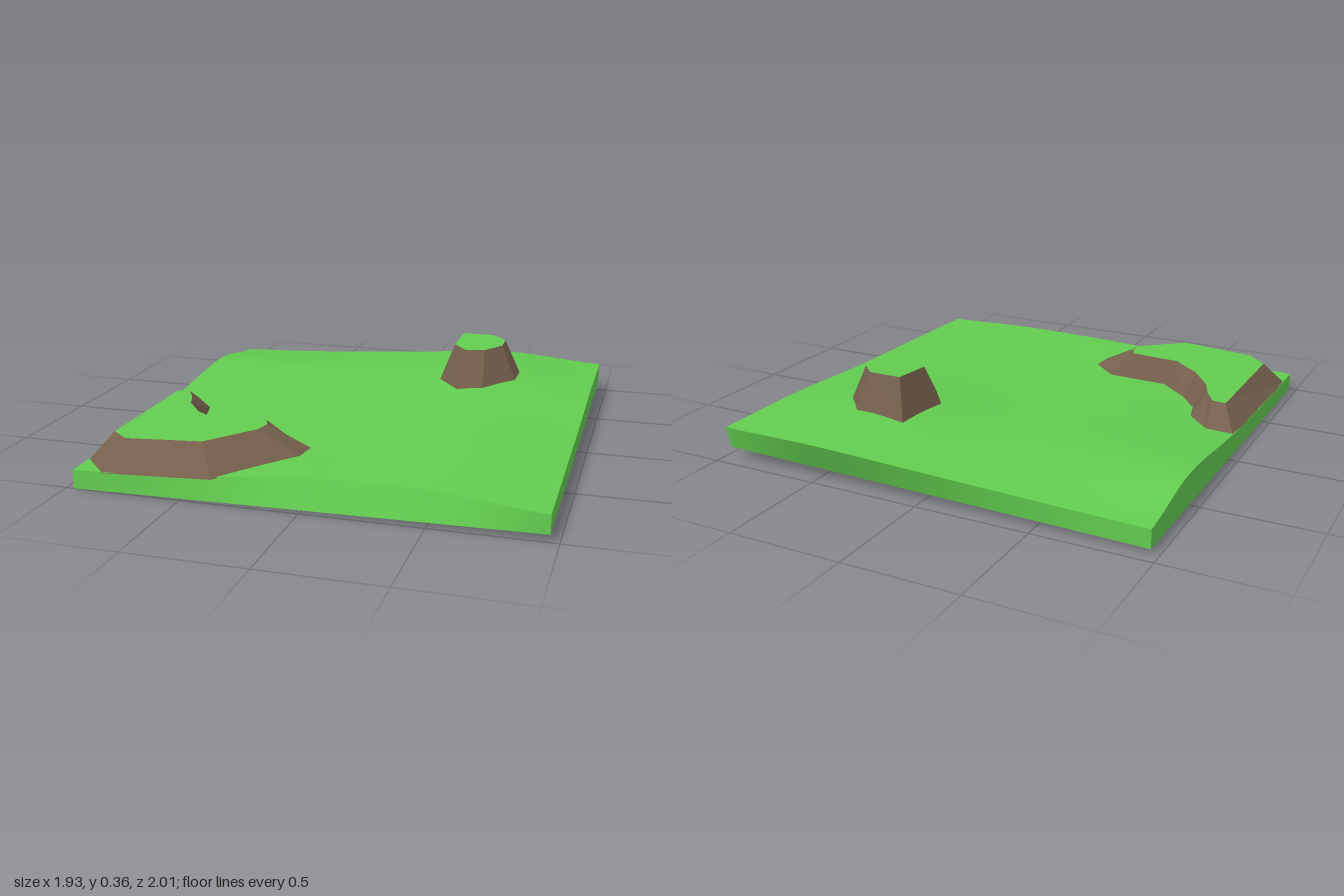
import * as THREE from 'three';

const green = new THREE.MeshStandardMaterial({ color: 0x62cc4f });
const brown = new THREE.MeshStandardMaterial({ color: 0x755f4c, flatShading: true });

const W = 1.93, D = 1.94, ZC = 0.03, THICK = 0.08, LEAN = 1.3;

// Hill heights: rows run from back to front, columns from -x to +x
const HILLS = [
  [0.0, 0.01, 0.03, 0.05, 0.02],
  [0.06, 0.05, 0.045, 0.09, 0.025],
  [0.02, 0.03, 0.03, 0.05, 0.008],
  [0.0, 0.01, 0.025, 0.04, 0.004],
  [0.0, 0.01, 0.035, 0.035, 0.0],
];

// Catmull-Rom through five evenly spaced values, t in 0..1
function spline(v, t) {
  const p = THREE.MathUtils.clamp(t, 0, 1) * 4;
  const i = Math.min(3, Math.floor(p)), f = p - i;
  const a = v[Math.max(0, i - 1)], b = v[i], c = v[i + 1], d = v[Math.min(4, i + 2)];
  return b + 0.5 * f * (c - a + f * (2 * a - 5 * b + 4 * c - d + f * (3 * (b - c) + d - a)));
}
const hill = (x, z) => spline(HILLS.map((row) => spline(row, x / W + 0.5)), (z - ZC) / D + 0.5);
const floorY = (x, z) => 0.016 * (x + W / 2) + 0.009 * (1 - z);

// Terrain height at a point, allowing for the backward lean of the hills
function groundY(x, z) {
  let d = hill(x, z);
  d = hill(x, z + LEAN * d);
  return floorY(x, z) + THICK + d;
}

// Rolling slab: a subdivided box whose top is raised into leaning hills
function makeTerrain() {
  const geo = new THREE.BoxGeometry(W, 1, D, 28, 1, 28).translate(0, 0, ZC);
  const p = geo.attributes.position;
  for (let i = 0; i < p.count; i++) {
    const x = p.getX(i), z = p.getZ(i);
    if (p.getY(i) > 0) {
      const d = hill(x, z);
      p.setXYZ(i, x, floorY(x, z) + THICK + d, z - LEAN * d);
    } else p.setY(i, floorY(x, z));
  }
  geo.computeVertexNormals();
  const mesh = new THREE.Mesh(geo, green);
  mesh.name = 'terrain';
  return mesh;
}

// Raised mesa: sloped cliff band from foot outline to rim outline, plus a grassy cap
function makeMesa(name, foot, rim, topY) {
  const group = new THREE.Group();
  group.name = name;
  const low = foot.map(([x, z]) => [x, groundY(x, z) - 0.004, z]);
  const high = rim.map(([x, z]) => [x, topY(x, z), z]);
  const verts = [];
  low.forEach((a, i) => {
    const j = (i + 1) % low.length;
    verts.push(...a, ...high[i], ...high[j], ...a, ...high[j], ...low[j]);
  });
  const band = new THREE.BufferGeometry();
  band.setAttribute('position', new THREE.Float32BufferAttribute(verts, 3));
  band.computeVertexNormals();
  const cliff = new THREE.Mesh(band, brown);
  cliff.name = name + 'Cliff';

  const shape = new THREE.Shape(rim.map(([x, z]) => new THREE.Vector2(x, -z)));
  const capGeo = new THREE.ShapeGeometry(shape).rotateX(-Math.PI / 2);
  const p = capGeo.attributes.position;
  for (let i = 0; i < p.count; i++) p.setY(i, topY(p.getX(i), p.getZ(i)));
  capGeo.computeVertexNormals();
  const cap = new THREE.Mesh(capGeo, green);
  cap.name = name + 'Grass';
  group.add(cliff, cap);
  return group;
}

export function createModel() {
  const model = new THREE.Group();
  model.name = 'hillyTerrainTile';
  model.add(makeTerrain());

  // Small steep hill near the back
  model.add(makeMesa('smallHill',
    [[0.265, -0.66], [0.5, -0.66], [0.615, -0.53], [0.61, -0.41], [0.48, -0.26], [0.36, -0.23], [0.25, -0.37]],
    [[0.32, -0.59], [0.47, -0.59], [0.54, -0.52], [0.54, -0.43], [0.47, -0.34], [0.38, -0.325], [0.315, -0.4]],
    (x, z) => 0.345 - 0.055 * (z + 0.325)));

  // Wide low plateau in the front corner
  model.add(makeMesa('plateau',
    [[-0.965, 0.03], [-0.84, 0.03], [-0.73, 0.15], [-0.7, 0.27], [-0.61, 0.39], [-0.47, 0.51],
      [-0.2, 0.49], [-0.08, 0.59], [-0.09, 0.7], [-0.36, 1], [-0.84, 1], [-0.965, 0.87]],
    [[-0.88, 0.18], [-0.82, 0.18], [-0.77, 0.26], [-0.73, 0.36], [-0.64, 0.48], [-0.51, 0.58],
      [-0.29, 0.565], [-0.265, 0.62], [-0.28, 0.69], [-0.45, 0.87], [-0.79, 0.87], [-0.88, 0.79]],
    (x) => 0.185 + 0.053 * (x + 0.88)));

  return model;
}
